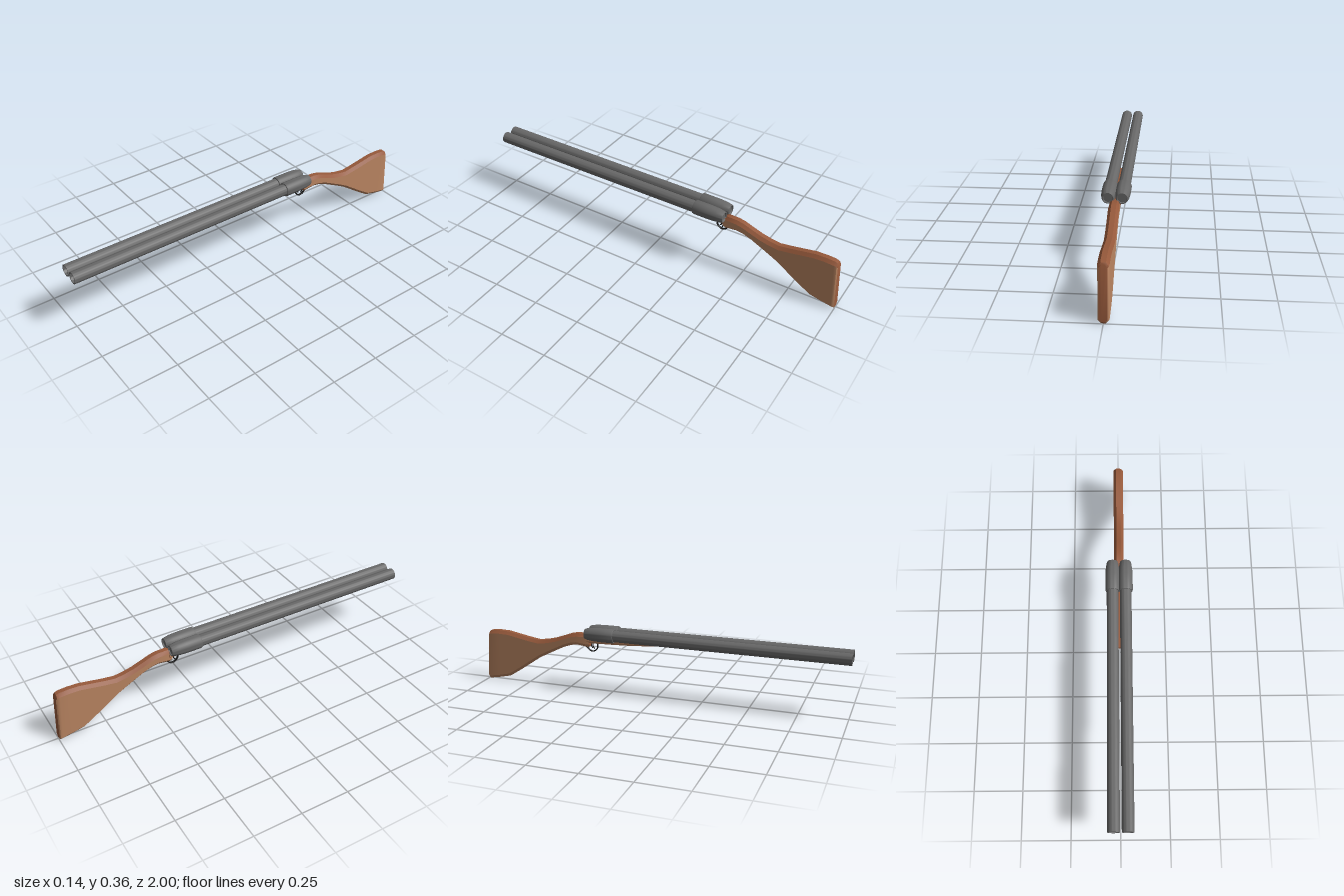
import * as THREE from 'three';
import { toCreasedNormals } from 'three/addons/utils/BufferGeometryUtils.js';

const material = (name, color) => new THREE.MeshStandardMaterial({ name, color });

// Eight-sided loft running towards -z.
// Section: [zTop, zBottom, top, bottom, halfWidth, flatHalfWidth, chamfer]
// Group 0 is the side wood, group 1 the edge wood.
function loft(sections) {
  const positions = [], sides = [], edges = [];
  for (const [zt, zb, t, b, w, f, c] of sections) {
    const ring = [[f, b], [w, b + c], [w, t - c], [f, t], [-f, t], [-w, t - c], [-w, b + c], [-f, b]];
    for (const [x, y] of ring) positions.push(x, y, THREE.MathUtils.mapLinear(y, b, t, zb, zt));
  }
  for (let i = 0; i < sections.length - 1; i++) {
    for (let k = 0; k < 8; k++) {
      const a = i * 8 + k, b = i * 8 + (k + 1) % 8, d = a + 8, c = b + 8;
      ([2, 3, 4, 7].includes(k) ? edges : sides).push(a, d, c, a, c, b);
    }
  }
  const last = (sections.length - 1) * 8;
  for (let k = 1; k < 7; k++) {
    edges.push(0, k, k + 1, last, last + k + 1, last + k);
  }
  const g = new THREE.BufferGeometry();
  g.setAttribute('position', new THREE.Float32BufferAttribute(positions, 3));
  g.setIndex([...sides, ...edges]);
  g.addGroup(0, sides.length, 0);
  g.addGroup(sides.length, edges.length, 1);
  return toCreasedNormals(g, 0.6);
}

// Turned part along z; profile points are [radius, z]
function turned(profile) {
  const g = new THREE.LatheGeometry(profile.map(([r, z]) => new THREE.Vector2(r, z)), 32);
  g.rotateX(Math.PI / 2);
  return toCreasedNormals(g, 0.6);
}

export function createModel() {
  const model = new THREE.Group();
  model.name = 'doubleBarrelGun';
  const steel = material('gunmetal', 0x686868);
  const sideWood = material('side wood', 0xbd8763);
  const edgeWood = material('edge wood', 0x96593b);
  const black = material('black metal', 0x161616);

  const add = (name, geometry, mat, parent = model) => {
    const mesh = new THREE.Mesh(geometry, mat);
    mesh.name = name;
    parent.add(mesh);
    return mesh;
  };

  // Two hollow barrels, each with a thicker breech
  const barrel = turned([[0, -0.3], [0.03, -0.3], [0.03, 1], [0.024, 1], [0.023, 0.9], [0.02, 0.9], [0.02, 0.85], [0, 0.85]]);
  const breech = turned([
    [0, -0.383], [0.021, -0.383], [0.023, -0.39], [0.027, -0.39], [0.031, -0.378], [0.035, -0.35],
    [0.037, -0.31], [0.037, -0.23], [0.035, -0.225], [0, -0.225],
  ]);
  for (const side of [-1, 1]) {
    const half = new THREE.Group();
    half.name = side > 0 ? 'leftBarrelGroup' : 'rightBarrelGroup';
    half.position.set(side * 0.034, 0.319, 0);
    add('barrel', barrel, steel, half);
    add('breech', breech, steel, half);
    model.add(half);
  }

  // Shoulder stock, from the grip to the butt
  const W = [0.026, 0.012, 0.016];
  add('stock', loft([
    [-0.375, -0.375, 0.300, 0.245, 0.022, 0.011, 0.014],
    [-0.395, -0.385, 0.312, 0.240, 0.024, 0.012, 0.016],
    [-0.45, -0.45, 0.311, 0.248, ...W],
    [-0.485, -0.485, 0.304, 0.242, ...W],
    [-0.53, -0.53, 0.287, 0.226, ...W],
    [-0.58, -0.58, 0.269, 0.201, ...W],
    [-0.63, -0.63, 0.257, 0.176, ...W],
    [-0.68, -0.68, 0.250, 0.149, ...W],
    [-0.74, -0.74, 0.259, 0.108, ...W],
    [-0.80, -0.80, 0.270, 0.067, ...W],
    [-0.865, -0.865, 0.282, 0.026, ...W],
    [-0.92, -0.925, 0.284, 0.012, ...W],
    [-0.965, -0.985, 0.281, 0.001, ...W],
    [-0.979, -0.995, 0.276, 0, 0.024, 0.011, 0.015],
    [-0.985, -1.0, 0.266, 0.008, 0.019, 0.008, 0.012],
  ]), [sideWood, edgeWood]);

  // Fore-end below the barrels
  add('foreEnd', loft([
    [0.08, 0.08, 0.302, 0.291, 0.012, 0.008, 0.003],
    [0.04, 0.04, 0.303, 0.285, 0.020, 0.013, 0.006],
    [-0.03, -0.03, 0.304, 0.280, 0.025, 0.018, 0.008],
    [-0.12, -0.12, 0.304, 0.273, 0.027, 0.021, 0.009],
    [-0.25, -0.25, 0.304, 0.268, 0.027, 0.021, 0.009],
    [-0.39, -0.39, 0.304, 0.264, 0.026, 0.019, 0.010],
  ]), [sideWood, edgeWood]);

  // Trigger guard: a thin loop with a tail running back to the grip
  const guardPath = new THREE.CatmullRomCurve3([
    [0.270, -0.345], [0.258, -0.336], [0.238, -0.336], [0.222, -0.348],
    [0.216, -0.365], [0.222, -0.382], [0.236, -0.395], [0.246, -0.412],
  ].map(([y, z]) => new THREE.Vector3(0, y, z)));
  const guard = new THREE.TubeGeometry(guardPath, 40, 0.0035, 8);
  guard.scale(1.8, 1, 1);
  add('triggerGuard', guard, black);

  // Two curved triggers, side by side
  for (const [x, z] of [[-0.004, -0.358], [0.004, -0.372]]) {
    const path = new THREE.CatmullRomCurve3([
      new THREE.Vector3(x, 0.272, z), new THREE.Vector3(x, 0.25, z - 0.003), new THREE.Vector3(x, 0.232, z + 0.006),
    ]);
    add('trigger', new THREE.TubeGeometry(path, 12, 0.003, 8), black);
  }
  return model;
}
